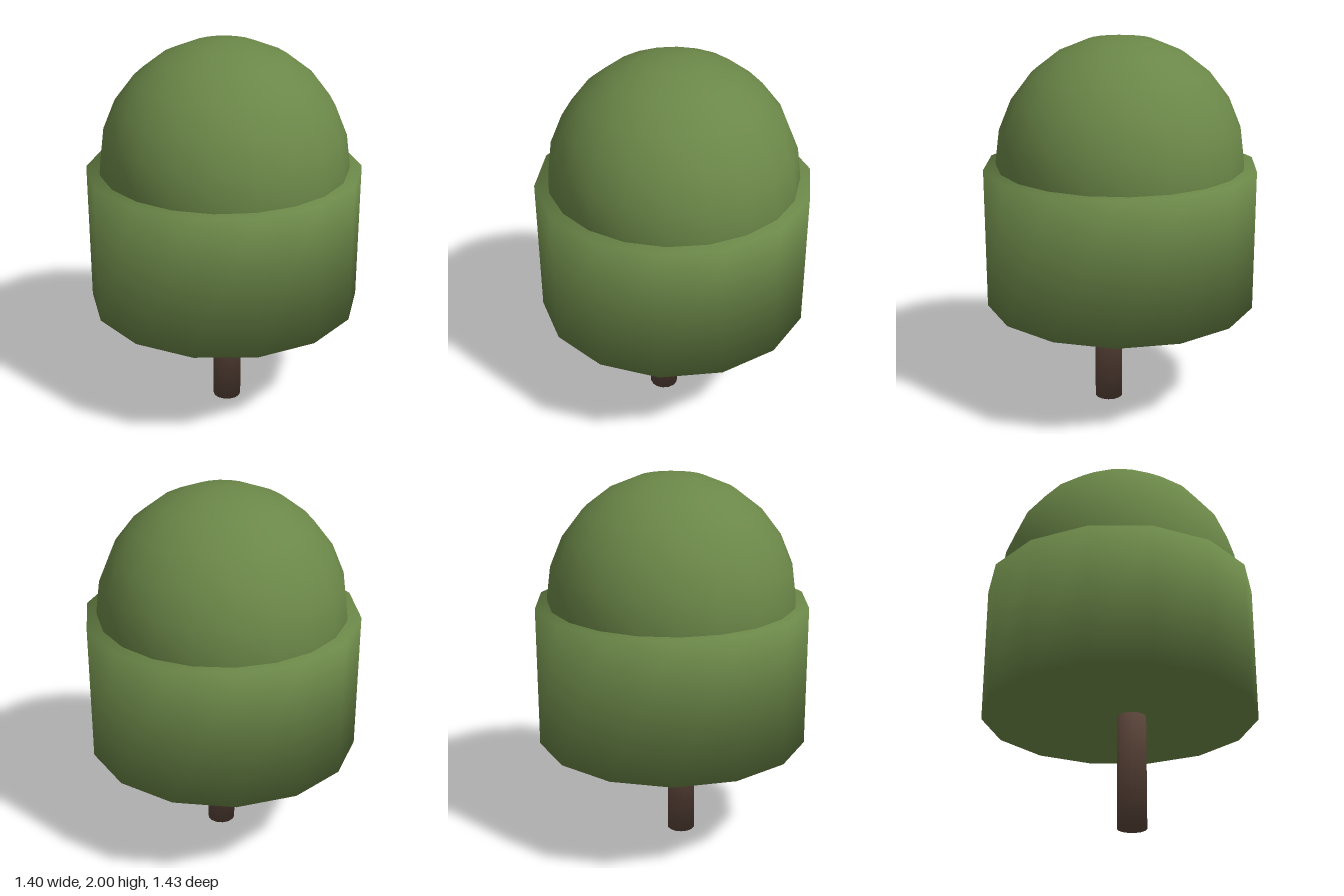
import * as THREE from 'three';

const foliageGreen = new THREE.MeshStandardMaterial({ name: 'foliageGreen', color: 0x6b8748 });
const barkBrown = new THREE.MeshStandardMaterial({ name: 'barkBrown', color: 0x5d463b });

// Closed prism whose soft normals run over the rims onto the flat ends
function softPrism(radius, y0, y1, sides) {
  const position = [], normal = [], index = [];
  const s = Math.SQRT1_2;
  for (const [y, ny] of [[y0, -s], [y1, s]]) {
    for (let i = 0; i < sides; i++) {
      const a = (i / sides) * Math.PI * 2;
      position.push(radius * Math.sin(a), y, radius * Math.cos(a));
      normal.push(s * Math.sin(a), ny, s * Math.cos(a));
    }
  }
  for (let i = 0; i < sides; i++) {
    const j = (i + 1) % sides;
    index.push(i, j, sides + j, i, sides + j, sides + i); // wall
    if (i > 0 && i < sides - 1) {
      index.push(0, i + 1, i); // bottom end
      index.push(sides, sides + i, sides + i + 1); // top end
    }
  }
  const geometry = new THREE.BufferGeometry();
  geometry.setAttribute('position', new THREE.Float32BufferAttribute(position, 3));
  geometry.setAttribute('normal', new THREE.Float32BufferAttribute(normal, 3));
  geometry.setIndex(index);
  return geometry;
}

export function createModel() {
  const tree = new THREE.Group();
  tree.name = 'tree';

  const add = (name, geometry, material, y = 0, z = 0) => {
    const mesh = new THREE.Mesh(geometry, material);
    mesh.name = name;
    mesh.position.set(0, y, z);
    tree.add(mesh);
  };

  // Trunk, set slightly forward of the crown's centre
  add('trunk', softPrism(0.075, 0, 0.7, 14), barkBrown, 0, 0.066);

  // Drum-shaped lower crown
  add('lowerCrown', softPrism(0.717, 0.59, 1.33, 14), foliageGreen);

  // Round upper crown, sunk into the drum
  add('upperCrown', new THREE.SphereGeometry(0.65, 20, 12), foliageGreen, 1.35);

  return tree;
}
